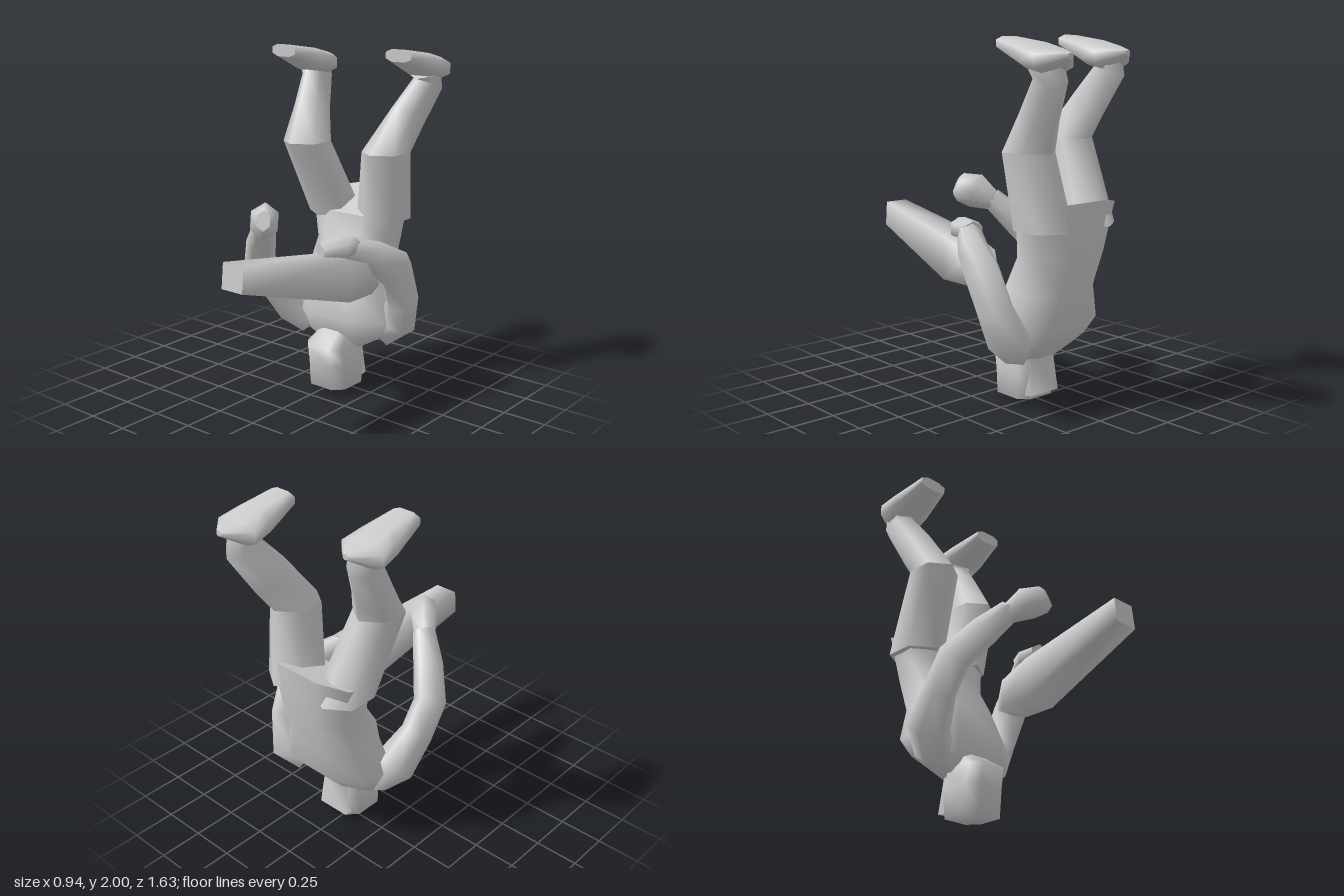
import * as THREE from 'three';

const material = new THREE.MeshStandardMaterial({ color: 0xcccccc, side: THREE.DoubleSide });
const V = (a) => new THREE.Vector3(a[0], a[1], a[2]);
const UP = [0, 1, 0];
const FORWARD = [0, 0, 1];

// Closed skin over rings [x, y, z, halfWidth, halfDepth, axis?].
// Width follows `hint`; power below 1 makes the section boxier.
function loft(name, rings, { sides = 8, power = 1, axis = null, hint = [1, 0, 0] } = {}) {
  const positions = [], index = [];
  const bend = (n) => Math.sign(n) * Math.pow(Math.abs(n), power);
  const centres = rings.map(V);
  const loops = rings.map((r, j) => {
    const fixed = r[5] || axis;
    const before = centres[Math.max(j - 1, 0)];
    const after = centres[Math.min(j + 1, rings.length - 1)];
    const t = (fixed ? V(fixed) : after.clone().sub(before)).normalize();
    const u = V(hint).addScaledVector(t, -V(hint).dot(t)).normalize();
    const v = t.clone().cross(u);
    return Array.from({ length: sides }, (_, i) => {
      const a = ((i + 0.5) / sides) * Math.PI * 2;
      return centres[j].clone()
        .addScaledVector(u, (bend(Math.cos(a)) / bend(Math.cos(Math.PI / sides))) * r[3])
        .addScaledVector(v, (bend(Math.sin(a)) / bend(Math.cos(Math.PI / sides))) * r[4]);
    });
  });
  const add = (p) => positions.push(p.x, p.y, p.z) / 3 - 1;
  loops.forEach((loop) => loop.forEach(add));
  for (let j = 0; j < rings.length - 1; j++) {
    for (let i = 0; i < sides; i++) {
      const k = (i + 1) % sides;
      const a = j * sides + i, b = j * sides + k;
      index.push(a, b, a + sides, b, b + sides, a + sides);
    }
  }
  // End caps keep their own corners so their rims stay sharp
  for (const end of [0, rings.length - 1]) {
    const c = add(centres[end]);
    const rim = loops[end].map(add);
    rim.forEach((p, i) => {
      const q = rim[(i + 1) % sides];
      index.push(c, ...(end ? [p, q] : [q, p]));
    });
  }
  const geometry = new THREE.BufferGeometry();
  geometry.setAttribute('position', new THREE.Float32BufferAttribute(positions, 3));
  geometry.setIndex(index);
  geometry.computeVertexNormals();
  const mesh = new THREE.Mesh(geometry, material);
  mesh.name = name;
  return mesh;
}

export function createModel() {
  const model = new THREE.Group();
  model.name = 'upsideDownFigure';

  // Head, with the crown on the ground
  model.add(loft('head', [
    [0.03, 0.0, -0.18, 0.03, 0.03],
    [0.03, 0.035, -0.2, 0.13, 0.135],
    [0.03, 0.18, -0.2, 0.13, 0.15],
    [0.03, 0.29, -0.175, 0.125, 0.145],
    [0.03, 0.37, -0.25, 0.09, 0.09],
  ], { power: 0.6, axis: UP }));
  model.add(loft('hair', [
    [0.03, 0.055, -0.31, 0.1, 0.055],
    [0.03, 0.265, -0.3, 0.08, 0.045],
  ], { sides: 4, axis: [0, 1, 0.15] }));

  // Torso from shoulders up to the slanted hips
  model.add(loft('torso', [
    [0.03, 0.27, -0.28, 0.14, 0.09],
    [0.02, 0.35, -0.3, 0.29, 0.14],
    [0.02, 0.45, -0.325, 0.33, 0.2],
    [0.0, 0.65, -0.36, 0.24, 0.21],
    [0.0, 0.85, -0.45, 0.24, 0.175],
    [-0.01, 1.09, -0.48, 0.29, 0.17, [0, 1, 0.35]],
  ], { power: 0.85, axis: UP }));

  // Legs: thigh, shin and foot
  const legs = [
    { side: 'right', hip: [-0.18, 1.0, -0.46], knee: [-0.235, 1.445, -0.255], ankle: [-0.335, 1.81, -0.47], foot: [-0.335, 0, 0] },
    { side: 'left', hip: [0.16, 1.0, -0.48], knee: [0.21, 1.405, -0.42], ankle: [0.31, 1.78, -0.68], foot: [0.31, -0.008, -0.215] },
  ];
  for (const { side, hip, knee, ankle, foot } of legs) {
    const calf = V(knee).lerp(V(ankle), 0.5).toArray();
    model.add(loft(side + 'Thigh', [
      [...hip, 0.13, 0.15],
      [...knee, 0.115, 0.135],
    ], { axis: UP, sides: 6 }));
    model.add(loft(side + 'Shin', [
      [...knee, 0.115, 0.135, UP],
      [...calf, 0.085, 0.105],
      [...ankle, 0.07, 0.09],
      [ankle[0], ankle[1] + 0.07, ankle[2] + 0.03, 0.08, 0.08],
    ], { sides: 6 }));
    const sole = loft(side + 'Foot', [
      [0, 1.905, -0.6, 0.015, 0.015],
      [0, 1.88, -0.485, 0.135, 0.06],
      [0, 1.905, -0.37, 0.12, 0.065],
      [0, 1.965, -0.165, 0.085, 0.035],
    ], { axis: FORWARD, power: 0.75 });
    sole.position.set(...foot);
    model.add(sole);
  }

  // Right arm, reaching across the front
  model.add(loft('rightArm', [
    [-0.2, 0.36, -0.26, 0.09, 0.09],
    [-0.3, 0.46, -0.19, 0.1, 0.11],
    [-0.34, 0.62, -0.06, 0.075, 0.09],
    [-0.34, 0.78, 0.05, 0.075, 0.09],
    [-0.23, 0.93, 0.16, 0.07, 0.08],
    [-0.12, 1.06, 0.25, 0.055, 0.055],
  ], { sides: 6 }));
  model.add(loft('rightHand', [
    [-0.13, 1.04, 0.24, 0.055, 0.05],
    [-0.06, 1.1, 0.32, 0.075, 0.09],
    [0.0, 1.12, 0.39, 0.06, 0.075],
    [0.015, 1.13, 0.41, 0.035, 0.05],
  ], { sides: 6, hint: [1, 0, -0.6] }));

  // Left arm, bent forward over the beam
  model.add(loft('leftArm', [
    [0.24, 0.36, -0.34, 0.08, 0.1],
    [0.33, 0.42, -0.4, 0.09, 0.12],
    [0.385, 0.58, -0.36, 0.07, 0.11],
    [0.4, 0.78, -0.27, 0.07, 0.11],
    [0.35, 0.87, -0.14, 0.07, 0.08],
    [0.26, 0.94, 0.0, 0.06, 0.055],
  ], { sides: 6 }));
  model.add(loft('leftHand', [
    [0.27, 0.94, -0.04, 0.06, 0.055],
    [0.25, 0.95, 0.05, 0.08, 0.055],
    [0.2, 0.94, 0.16, 0.045, 0.045],
  ], { sides: 6 }));

  // Long tapered beam pointing forward
  model.add(loft('beam', [
    [0.28, 0.735, -0.19, 0.06, 0.04],
    [0.26, 0.755, -0.1, 0.1, 0.085],
    [0.255, 0.79, 0.1, 0.105, 0.12],
    [0.165, 0.94, 0.81, 0.07, 0.07, [0, 0.1, 1]],
  ], { sides: 4, axis: FORWARD }));

  return model;
}
